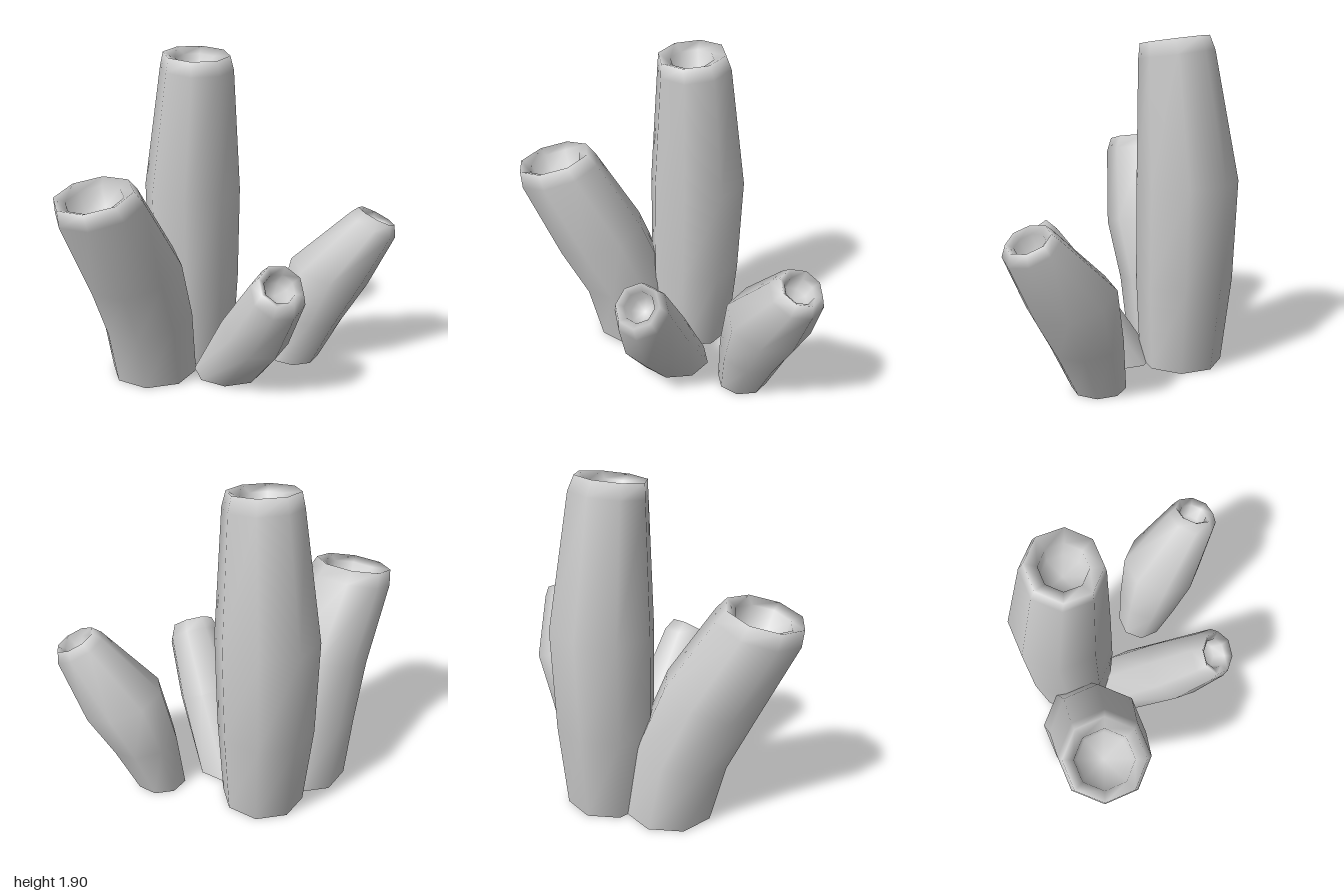
import * as THREE from 'three';

const SIDES = 8;
const UP = new THREE.Vector3(0, 1, 0);
const material = new THREE.MeshStandardMaterial({ color: 0xcccccc, side: THREE.DoubleSide });

// One ring of the tube: centre, radius and the direction it faces
function ringPoints([x, y, z, r], normal) {
  const turn = new THREE.Quaternion().setFromUnitVectors(UP, normal);
  return Array.from({ length: SIDES }, (_, i) => {
    const a = ((i + 0.5) / SIDES) * Math.PI * 2;
    return new THREE.Vector3(Math.cos(a) * r, 0, -Math.sin(a) * r)
      .applyQuaternion(turn).add(new THREE.Vector3(x, y, z));
  });
}

// Joins rings into a smooth skin and closes the last ring with a centre point
function skin(rings, end) {
  const pts = rings.flat().concat(end);
  const index = [];
  const last = rings.length - 1;
  for (let j = 0; j <= last; j++) {
    for (let i = 0; i < SIDES; i++) {
      const a = j * SIDES + i;
      const b = j * SIDES + (i + 1) % SIDES;
      if (j < last) index.push(a, b, b + SIDES, a, b + SIDES, a + SIDES);
      else index.push(a, b, pts.length - 1);
    }
  }
  const g = new THREE.BufferGeometry().setFromPoints(pts);
  g.setIndex(index);
  g.computeVertexNormals();
  return g;
}

// body: rings [x, y, z, radius, tilt x, tilt z] from the open base to the shoulder
// mouth: centre of the lip, its radius, hole radius, depth and tilt
function makeTube(name, body, { at, lip, hole, depth, tilt }) {
  const dir = (tx = 0, tz = 0) => new THREE.Vector3(tx, 1, tz).normalize();
  const rings = body.map((b) => ringPoints(b, dir(b[4], b[5])));

  // Soft lip, then the inner wall down to the floor of the hole
  const n = dir(...tilt);
  const below = (d) => new THREE.Vector3(...at).addScaledVector(n, -d);
  for (const [r, down] of [[lip, 0], [hole, 0.03], [hole * 0.9, depth]]) {
    rings.push(ringPoints([...below(down).toArray(), r], n));
  }
  const tube = new THREE.Mesh(skin(rings, below(depth + 0.01)), material);
  tube.name = name;
  return tube;
}

export function createModel() {
  const model = new THREE.Group();
  model.name = 'tubeCluster';

  model.add(
    makeTube('tallTube', [
      [-0.13, 0, -0.325, 0.24],
      [-0.135, 0.5, -0.34, 0.28],
      [-0.13, 1.07, -0.353, 0.29, 0, 0.05],
      [-0.11, 1.79, -0.285, 0.215, 0, 0.13],
    ], { at: [-0.115, 1.873, -0.27], lip: 0.195, hole: 0.125, depth: 0.15, tilt: [0, 0.13] }),

    makeTube('rightLeaningTube', [
      [-0.435, 0, -0.125, 0.255],
      [-0.48, 0.38, -0.07, 0.27, -0.15, 0.1],
      [-0.57, 0.72, 0.05, 0.28, -0.25, 0.18],
      [-0.76, 1.14, 0.18, 0.247, -0.22, 0.16],
    ], { at: [-0.79, 1.22, 0.195], lip: 0.22, hole: 0.16, depth: 0.15, tilt: [-0.18, 0.14] }),

    makeTube('frontTube', [
      [-0.005, 0, 0.02, 0.21],
      [0.07, 0.37, 0.305, 0.2, 0.2, 0.5],
      [0.135, 0.67, 0.495, 0.16, 0.15, 0.85],
    ], { at: [0.14, 0.735, 0.535], lip: 0.13, hole: 0.09, depth: 0.11, tilt: [0.15, 0.9] }),

    makeTube('leftLeaningTube', [
      [0.445, 0, -0.065, 0.15],
      [0.53, 0.285, -0.035, 0.2, 0.15, 0.05],
      [0.64, 0.565, -0.005, 0.245, 0.3, 0.1],
      [0.86, 0.875, 0.1, 0.155, 0.5, 0.15],
    ], { at: [0.885, 0.93, 0.1], lip: 0.12, hole: 0.085, depth: 0.11, tilt: [0.48, 0.1] }),
  );
  return model;
}
